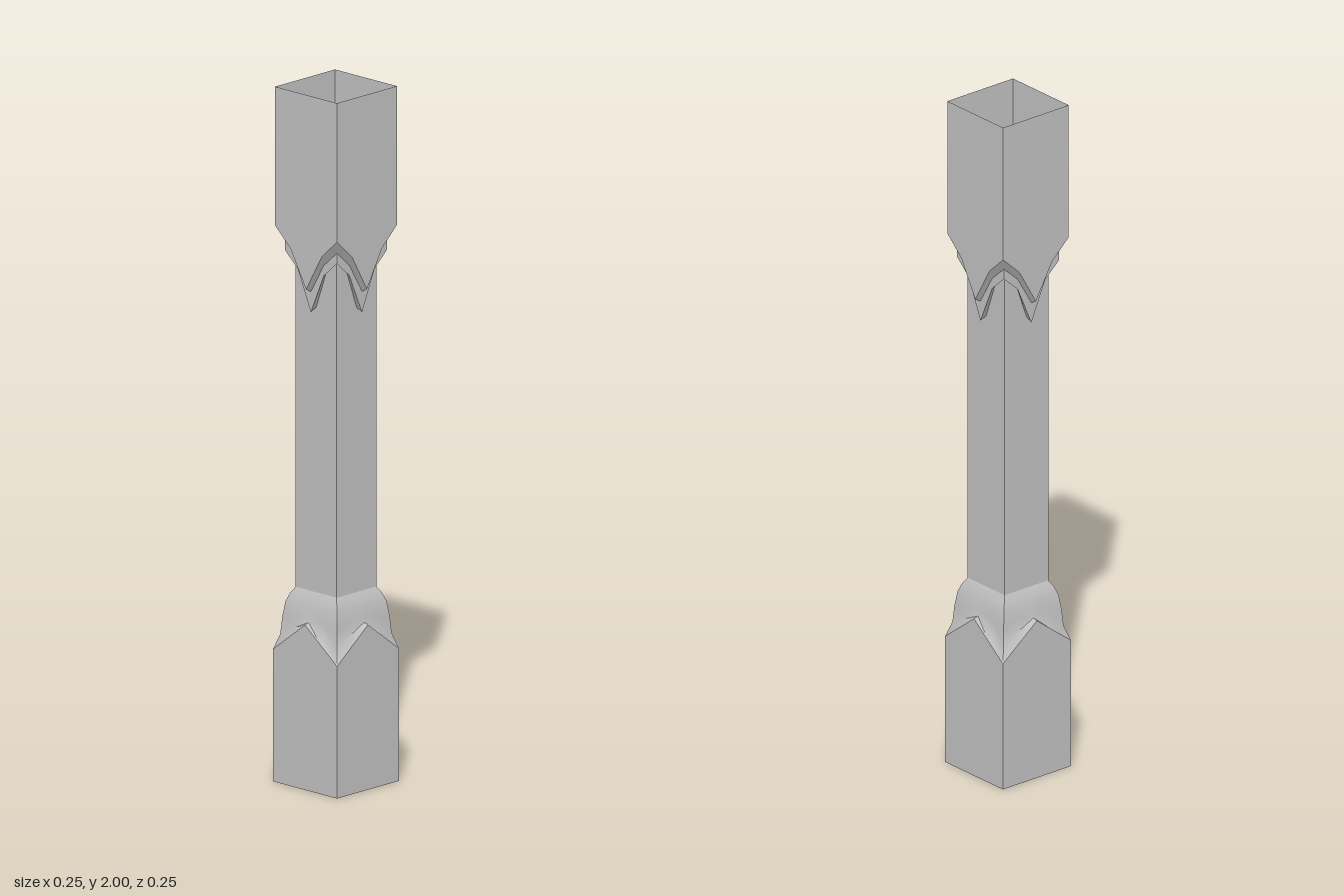
import * as THREE from 'three';
import { toCreasedNormals } from 'three/addons/utils/BufferGeometryUtils.js';

// A square ring: each side is described by [half width, height] at its corner, quarter and middle.
function ring(corner, quarter, mid) {
  const points = [];
  for (let k = 0; k < 4; k++) {
    const side = [
      [corner[0], corner[1], corner[0]],
      [corner[0] / 2, quarter[1], quarter[0]],
      [0, mid[1], mid[0]],
      [-corner[0] / 2, quarter[1], quarter[0]],
    ];
    for (let [x, y, z] of side) {
      for (let t = 0; t < k; t++) [x, z] = [-z, x];
      points.push([x, y, z]);
    }
  }
  return points;
}

const level = (w, y) => ring([w, y], [w, y], [w, y]);
const chevron = (w, yCorner, yQuarter, yMid) => ring([w, yCorner], [w, yQuarter], [w, yMid]);

// Skins a list of rings, ordered from top to bottom.
function loft(rings) {
  const n = rings[0].length;
  const index = [];
  for (let r = 0; r < rings.length - 1; r++) {
    for (let i = 0; i < n; i++) {
      const a = r * n + i, b = r * n + (i + 1) % n;
      index.push(a, b, a + n, b, b + n, a + n);
    }
  }
  const geometry = new THREE.BufferGeometry();
  geometry.setAttribute('position', new THREE.Float32BufferAttribute(rings.flat(2), 3));
  geometry.setIndex(index);
  return toCreasedNormals(geometry, 0.7);
}

export function createModel() {
  const model = new THREE.Group();
  model.name = 'squareColumn';
  const stone = new THREE.MeshStandardMaterial({ color: 0xc0c0c0, side: THREE.DoubleSide });
  stone.name = 'grey stone';

  const add = (name, rings) => {
    const mesh = new THREE.Mesh(loft(rings), stone);
    mesh.name = name;
    model.add(mesh);
  };

  // Edges shared by neighbouring parts
  const capitalEdge = chevron(0.119, 1.6, 1.545, 1.44);
  const collarTop = chevron(0.1, 1.56, 1.515, 1.43);
  const collarEdge = chevron(0.1, 1.53, 1.485, 1.37);
  const shaftTop = chevron(0.079, 1.53, 1.49, 1.38);
  const shaftFoot = level(0.079, 0.56);
  const baseEdge = chevron(0.1235, 0.38, 0.4275, 0.475);

  // Upper block with pointed lower edges, stepping in to the shaft
  add('capital', [level(0.119, 2), capitalEdge]);
  add('capitalUnderside', [capitalEdge, collarTop]);
  add('collar', [collarTop, collarEdge]);
  add('collarUnderside', [collarEdge, shaftTop]);

  add('shaft', [shaftTop, shaftFoot]);

  // Rounded flare sinking into the pointed lower block
  add('flare', [
    shaftFoot,
    level(0.09, 0.542),
    level(0.099, 0.518),
    ring([0.105, 0.475], [0.105, 0.485], [0.105, 0.49]),
    ring([0.109, 0.425], [0.109, 0.453], [0.109, 0.479]),
    baseEdge,
  ]);
  add('base', [baseEdge, level(0.1235, 0)]);

  return model;
}
